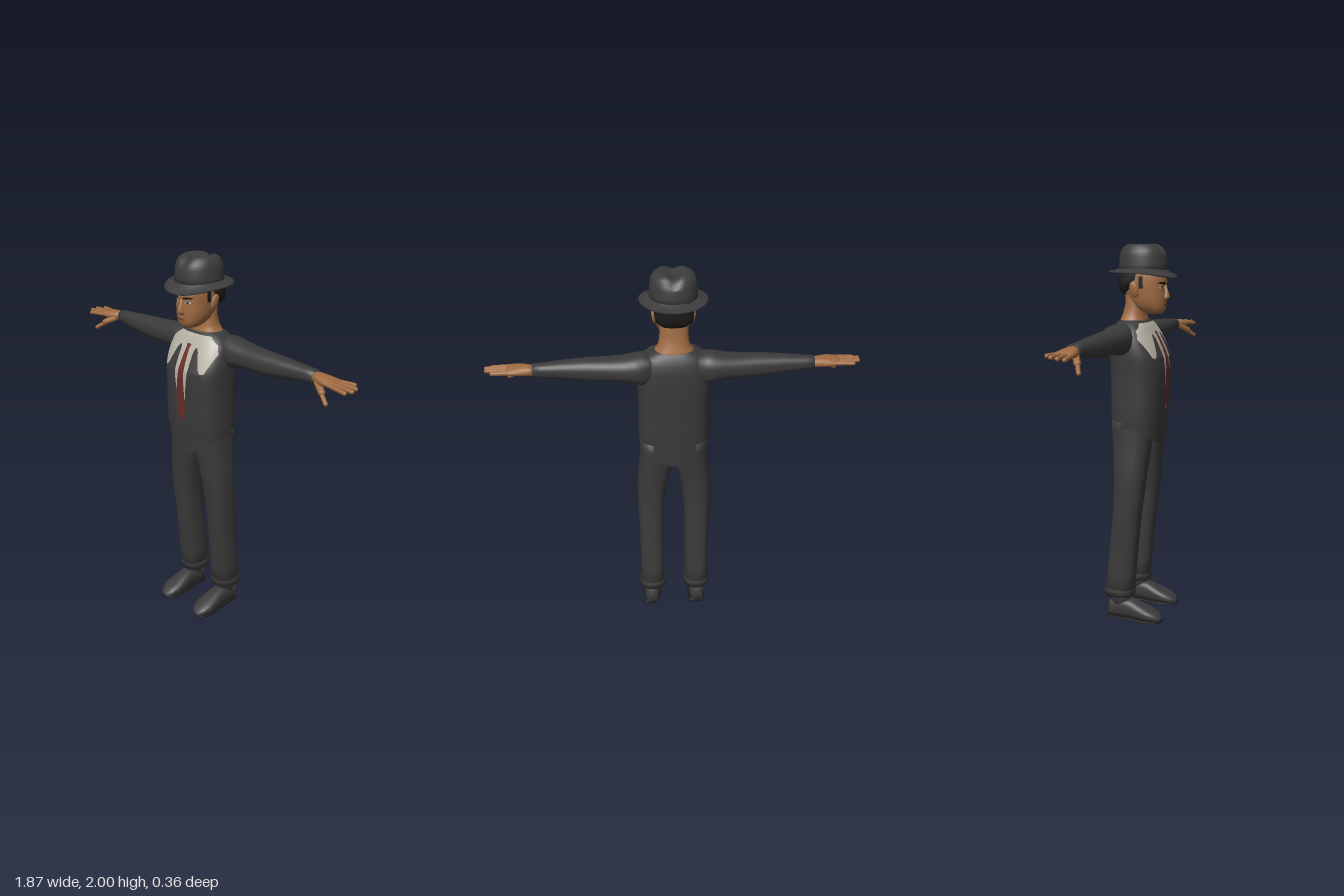
import * as THREE from 'three';

const paint = (name, color, side = THREE.FrontSide) => {
  const m = new THREE.MeshStandardMaterial({ color, side });
  m.name = name;
  return m;
};

// Build an indexed geometry from a grid of points; "wrap" closes each row into a ring.
function grid(points, rows, cols, wrap) {
  const index = [];
  for (let i = 0; i < rows - 1; i++) {
    for (let j = 0; j < (wrap ? cols : cols - 1); j++) {
      const a = i * cols + j, b = i * cols + (j + 1) % cols;
      index.push(a, b, b + cols, a, b + cols, a + cols);
    }
  }
  const geo = new THREE.BufferGeometry();
  geo.setAttribute('position', new THREE.Float32BufferAttribute(points, 3));
  geo.setIndex(index);
  geo.computeVertexNormals();
  return geo;
}

// Loft of superellipse rings. Row: [y, halfWidth, zFront, zBack, xCentre].
function loft(rows, { n = 2.3, segs = 32, bend = null } = {}) {
  const points = [];
  const pow = (v) => Math.sign(v) * Math.abs(v) ** (2 / n);
  for (const [y, w, zf, zb, xc = 0] of rows) {
    for (let j = 0; j < segs; j++) {
      const t = (j / segs) * Math.PI * 2;
      const p = [xc + w * pow(Math.sin(t)), y, (zf + zb) / 2 + ((zf - zb) / 2) * pow(Math.cos(t))];
      if (bend) bend(p, t);
      points.push(...p);
    }
  }
  return grid(points, rows.length, segs, true);
}

// Close a loft by shrinking an extra ring to its centre at the first and last rows.
function closed(rows) {
  const point = ([y, , zf, zb, xc]) => [y, 0.0005, (zf + zb) / 2, (zf + zb) / 2, xc];
  return [point(rows[0]), ...rows, point(rows[rows.length - 1])];
}

// Thin painted face that follows the front of a loft. Row: [y, xLeft, xRight], upwards.
function patch(rows, body, n, lift, cols = 17, sub = 6) {
  const points = [];
  let count = 0;
  const frontZ = (x, y) => {
    let k = 0;
    while (k < body.length - 2 && body[k + 1][0] < y) k++;
    const f = (y - body[k][0]) / (body[k + 1][0] - body[k][0]);
    const [w, zf, zb] = [1, 2, 3].map((c) => THREE.MathUtils.lerp(body[k][c], body[k + 1][c], f));
    const r = Math.min(0.98, Math.abs(x) / w);
    return (zf + zb) / 2 + ((zf - zb) / 2) * (1 - r ** n) ** (1 / n);
  };
  for (let i = 0; i < rows.length - 1; i++) {
    for (let s = i ? 1 : 0; s <= sub; s++, count++) {
      const [y, x0, x1] = [0, 1, 2].map((c) => THREE.MathUtils.lerp(rows[i][c], rows[i + 1][c], s / sub));
      for (let j = 0; j < cols; j++) {
        const x = THREE.MathUtils.lerp(x0, x1, j / (cols - 1));
        points.push(x, y, frontZ(x, y) + lift);
      }
    }
  }
  return grid(points, count, cols, false);
}

function mirrored(geo) {
  const g = geo.clone().scale(-1, 1, 1);
  g.index.array.reverse();
  g.computeVertexNormals();
  return g;
}

function rod(from, to, r) {
  const a = new THREE.Vector3(...from), b = new THREE.Vector3(...to), d = b.clone().sub(a);
  const q = new THREE.Quaternion().setFromUnitVectors(new THREE.Vector3(0, 1, 0), d.clone().normalize());
  const g = new THREE.CapsuleGeometry(r, d.length() - r, 5, 10).applyQuaternion(q);
  const mid = a.add(b).multiplyScalar(0.5);
  return g.translate(mid.x, mid.y, mid.z);
}

export function createModel() {
  const root = new THREE.Group();
  root.name = 'suitedMan';
  const suit = paint('charcoal suit', 0x3a3a3a, THREE.DoubleSide);
  const hat = paint('grey felt', 0x3d3d3d);
  const skin = paint('skin', 0x9f6b42);
  const hair = paint('black', 0x1c1a19);
  const shirt = paint('off white shirt', 0xb4afa2, THREE.DoubleSide);
  const tie = paint('dark red tie', 0x6a2c2c, THREE.DoubleSide);
  const lip = paint('lip brown', 0x6f422f);

  const add = (name, geo, mat) => {
    const m = new THREE.Mesh(geo, mat);
    m.name = name;
    root.add(m);
  };
  const pair = (name, geo, mat) => {
    add(name + 'Left', geo, mat);
    add(name + 'Right', mirrored(geo), mat);
  };

  // Jacket, with a hem that dips at the middle of front and back
  const torso = [
    [1.06, 0.18, 0.108, -0.142], [1.098, 0.179, 0.115, -0.144], [1.102, 0.184, 0.12, -0.147],
    [1.2, 0.184, 0.123, -0.147], [1.3, 0.18, 0.126, -0.15], [1.38, 0.185, 0.129, -0.152],
    [1.43, 0.188, 0.124, -0.152], [1.47, 0.188, 0.108, -0.152], [1.52, 0.184, 0.084, -0.15],
    [1.56, 0.174, 0.06, -0.143], [1.59, 0.15, 0.042, -0.13], [1.612, 0.113, 0.024, -0.117],
    [1.62, 0.085, 0.008, -0.1],
  ];
  add('jacket', loft(torso, {
    n: 2.8, segs: 56,
    bend: (p) => { if (p[1] < 1.07) p[1] -= 0.088 * (1 - (p[0] / 0.18) ** 2); },
  }), suit);

  // Shirt, lapels and tie laid on the chest
  const mirrorRows = (rows) => rows.map(([y, x]) => [y, -x, x]);
  add('shirt', patch(mirrorRows([[1.16, 0.004], [1.42, 0.05], [1.435, 0.135], [1.53, 0.168],
    [1.57, 0.152], [1.606, 0.1]]), torso, 2.8, 0.004, 41), shirt);
  pair('lapel', patch([[1.2, 0.02, 0.04], [1.42, 0.042, 0.127], [1.45, 0.044, 0.103],
    [1.53, 0.044, 0.072], [1.548, 0.05, 0.06]], torso, 2.8, 0.007), suit);
  add('tie', patch(mirrorRows([[1.15, 0.002], [1.21, 0.03], [1.3, 0.026], [1.45, 0.018],
    [1.54, 0.011], [1.56, 0.014]]), torso, 2.8, 0.009), tie);

  // Sleeves and hands are lofted upright, then laid along x
  const lay = (rows, opts) => loft(closed(rows), opts).rotateZ(-Math.PI / 2);
  pair('sleeve', lay([
    [0.1, 0.07, -0.005, -0.13, -1.53], [0.16, 0.083, 0.01, -0.148, -1.523], [0.2, 0.074, 0.01, -0.15, -1.527],
    [0.25, 0.064, 0.004, -0.143, -1.527], [0.32, 0.06, 0, -0.133, -1.525], [0.42, 0.058, -0.003, -0.122, -1.524],
    [0.55, 0.046, -0.018, -0.112, -1.528], [0.65, 0.036, -0.032, -0.106, -1.53], [0.695, 0.033, -0.035, -0.105, -1.53],
  ]), suit);
  pair('palm', lay([
    [0.68, 0.023, -0.043, -0.097, -1.53], [0.72, 0.026, -0.028, -0.1, -1.53], [0.76, 0.024, -0.012, -0.104, -1.53],
    [0.8, 0.018, -0.008, -0.106, -1.53], [0.825, 0.012, -0.015, -0.1, -1.53],
  ], { segs: 20 }), skin);
  const fingers = [[-0.018, 0.908, -0.008, 1.52], [-0.044, 0.93, -0.032, 1.527],
    [-0.07, 0.926, -0.065, 1.531], [-0.094, 0.895, -0.1, 1.533]];
  fingers.forEach(([z0, x, z1, y], i) => pair('finger' + (i + 1), rod([0.8, 1.53, z0], [x, y, z1], 0.0105), skin));
  pair('thumbBase', rod([0.72, 1.52, -0.045], [0.785, 1.487, -0.005], 0.017), skin);
  pair('thumb', rod([0.765, 1.495, -0.015], [0.828, 1.452, 0.02], 0.011), skin);

  // Trousers with turned cuffs
  pair('trouserLeg', loft(closed([
    [0.14, 0.069, -0.008, -0.165, 0.125], [0.25, 0.066, 0.003, -0.153, 0.125], [0.4, 0.067, 0.016, -0.138, 0.125],
    [0.6, 0.069, 0.036, -0.117, 0.127], [0.7, 0.074, 0.05, -0.112, 0.125], [0.8, 0.08, 0.06, -0.112, 0.118],
    [0.9, 0.087, 0.07, -0.117, 0.103], [0.96, 0.091, 0.076, -0.124, 0.092], [1.05, 0.091, 0.085, -0.132, 0.088],
    [1.12, 0.09, 0.085, -0.132, 0.088],
  ]), { n: 2.5 }), suit);
  pair('cuff', loft(closed([[0.132, 0.074, -0.004, -0.172, 0.125], [0.165, 0.072, -0.002, -0.168, 0.125],
    [0.172, 0.067, -0.008, -0.16, 0.125]]), { n: 2.5 }), suit);

  // Ankles, shoes and soles; shoes are lofted upright, then laid along z
  pair('ankle', loft(closed([[0.07, 0.042, -0.02, -0.135, 0.13], [0.12, 0.04, -0.025, -0.13, 0.13],
    [0.2, 0.042, -0.03, -0.13, 0.13]])), suit);
  const shoe = [
    [-0.145, 0.028, -0.004, -0.085, 0.13], [-0.13, 0.041, -0.004, -0.1, 0.13], [-0.06, 0.045, -0.004, -0.115, 0.13],
    [-0.01, 0.048, -0.004, -0.108, 0.13], [0.04, 0.055, -0.004, -0.088, 0.13], [0.09, 0.057, -0.004, -0.069, 0.13],
    [0.13, 0.045, -0.004, -0.05, 0.13], [0.15, 0.028, -0.004, -0.034, 0.13], [0.157, 0.012, -0.004, -0.02, 0.13],
  ];
  pair('shoe', loft(closed(shoe), { n: 2.5 }).rotateX(Math.PI / 2), suit);
  pair('sole', loft(closed(shoe.map(([z, w, , , x]) => [z, w + 0.003, 0, -0.012, x])), { n: 4 })
    .rotateX(Math.PI / 2), hair);

  // Neck and head
  add('neck', loft([[1.57, 0.12, 0, -0.12], [1.61, 0.103, 0.022, -0.116], [1.625, 0.087, 0.018, -0.111],
    [1.65, 0.076, 0.012, -0.102], [1.69, 0.071, 0.012, -0.09], [1.76, 0.07, 0, -0.085]]), skin);
  const head = [
    [1.648, 0.026, 0.095, 0.03], [1.655, 0.045, 0.107, 0.015], [1.67, 0.06, 0.118, -0.02],
    [1.69, 0.073, 0.123, -0.05], [1.72, 0.083, 0.124, -0.072], [1.76, 0.089, 0.125, -0.1],
    [1.785, 0.091, 0.121, -0.108], [1.81, 0.092, 0.127, -0.112], [1.84, 0.092, 0.123, -0.113], [1.89, 0.088, 0.11, -0.11],
  ];
  add('head', loft(closed(head), { n: 2.3, segs: 40 }), skin);
  add('nose', loft(closed([[1.718, 0.012, 0.128, 0.1], [1.728, 0.02, 0.141, 0.1], [1.738, 0.018, 0.147, 0.1],
    [1.76, 0.011, 0.14, 0.1], [1.795, 0.008, 0.128, 0.1]]), { n: 2, segs: 14 }), skin);
  pair('ear', new THREE.SphereGeometry(1, 14, 10).scale(0.012, 0.042, 0.024)
    .rotateX(-0.2).rotateZ(-0.15).translate(0.096, 1.775, -0.012), skin);

  // Face details
  pair('eye', patch([[1.779, 0.028, 0.046], [1.784, 0.02, 0.055], [1.79, 0.025, 0.05]], head, 2.3, 0.002, 9, 3), shirt);
  pair('iris', patch([[1.779, 0.033, 0.042], [1.79, 0.033, 0.042]], head, 2.3, 0.004, 5, 3), hair);
  pair('eyebrow', patch([[1.8, 0.014, 0.035], [1.806, 0.013, 0.065], [1.812, 0.03, 0.06]], head, 2.3, 0.004, 9, 3), hair);
  add('mouth', patch(mirrorRows([[1.69, 0.012], [1.697, 0.03], [1.703, 0.014]]), head, 2.3, 0.003, 9, 3), lip);

  // Hair around the back and sides
  add('hair', loft(closed([[1.752, 0.06, -0.045, -0.103], [1.775, 0.09, -0.028, -0.114], [1.8, 0.0955, 0.0, -0.119],
    [1.83, 0.0965, 0.028, -0.12], [1.88, 0.095, 0.04, -0.118]]), { n: 2.8 }), hair);
  pair('sideburn', new THREE.BoxGeometry(0.006, 0.06, 0.022).translate(0.09, 1.81, 0.022), hair);

  // Hat: pinched crown and a brim that dips at the front
  add('hatCrown', loft(closed([
    [1.855, 0.119, 0.126, -0.122], [1.9, 0.117, 0.125, -0.122], [1.94, 0.114, 0.122, -0.119], [1.965, 0.11, 0.114, -0.112],
    [1.985, 0.099, 0.1, -0.098], [1.998, 0.08, 0.08, -0.08], [2.0, 0.06, 0.058, -0.062], [1.99, 0.035, 0.045, -0.045],
  ]), {
    n: 2.1, segs: 48,
    bend: (p) => { if (p[1] > 1.96) p[1] -= 0.018 * Math.exp(-((p[0] / 0.028) ** 2)); },
  }), hat);
  add('hatBrim', loft([
    [1.86, 0.085, 0.09, -0.09], [1.858, 0.125, 0.132, -0.13], [1.856, 0.164, 0.174, -0.174], [1.861, 0.169, 0.178, -0.178],
    [1.866, 0.164, 0.174, -0.174], [1.868, 0.14, 0.148, -0.146], [1.882, 0.115, 0.122, -0.118],
  ], {
    n: 2, segs: 48,
    bend: (p, t) => { p[1] -= 0.028 * Math.max(0, Math.cos(t)) ** 2 * THREE.MathUtils.smoothstep(Math.hypot(p[0], p[2]), 0.1, 0.175); },
  }), hat);

  return root;
}
